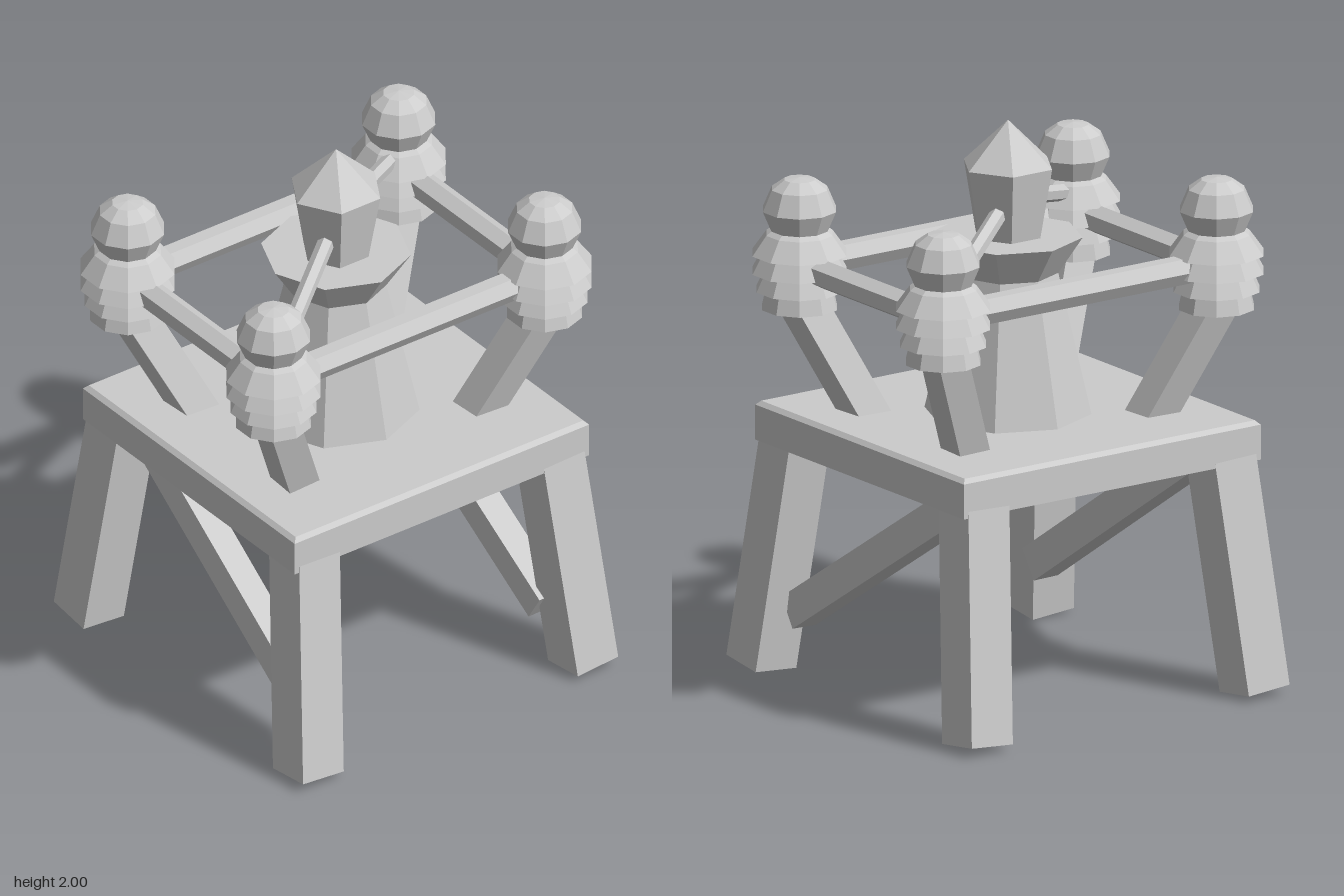
import * as THREE from 'three';

const grey = new THREE.MeshStandardMaterial({ color: 0xcccccc });
grey.name = 'light grey';

const UP = new THREE.Vector3(0, 1, 0);

// Give every face its own flat normal
function faceted(geometry) {
  const flat = geometry.index ? geometry.toNonIndexed() : geometry;
  flat.computeVertexNormals();
  return flat;
}

function add(parent, name, geometry) {
  const mesh = new THREE.Mesh(faceted(geometry), grey);
  mesh.name = name;
  parent.add(mesh);
  return mesh;
}

// Places a geometry that runs along y between two points
function between(parent, name, a, b, makeGeometry) {
  const start = new THREE.Vector3(...a), end = new THREE.Vector3(...b);
  const dir = end.clone().sub(start);
  const mesh = add(parent, name, makeGeometry(dir.length()));
  mesh.position.copy(start).add(end).multiplyScalar(0.5);
  mesh.quaternion.setFromUnitVectors(UP, dir.normalize());
  return mesh;
}

const beam = (w, d) => (length) => new THREE.BoxGeometry(w, length, d);
const hexBar = (r) => (length) => new THREE.CylinderGeometry(r, r, length, 6);

function turned(parent, name, profile, sides) {
  const points = profile.map(([r, y]) => new THREE.Vector2(r, y));
  return add(parent, name, new THREE.LatheGeometry(points, sides));
}

export function createModel() {
  const model = new THREE.Group();
  model.name = 'pylonTable';

  // Slab with a chamfered top edge
  const slab = new THREE.BoxGeometry(1.26, 0.14, 1.22, 1, 2, 1);
  const p = slab.attributes.position;
  for (let i = 0; i < p.count; i++) {
    if (p.getY(i) > 0.05) {
      p.setX(i, p.getX(i) - Math.sign(p.getX(i)) * 0.015);
      p.setZ(i, p.getZ(i) - Math.sign(p.getZ(i)) * 0.015);
    } else if (p.getY(i) > -0.05) p.setY(i, 0.055);
  }
  add(model, 'slab', slab).position.y = 0.89;

  // Central tower with a flared collar, and the pointed finial on it
  turned(model, 'tower', [
    [0, 0.93], [0.295, 0.94], [0.175, 1.46], [0.26, 1.59], [0, 1.59],
  ], 8);
  turned(model, 'finial', [
    [0, 1.58], [0.12, 1.58], [0.166, 1.84], [0, 2],
  ], 6).rotation.y = Math.PI / 6;

  // Ribbed post head and the ball on top of it
  const ribs = [
    [0, 1.33], [0.135, 1.33], [0.12, 1.395], [0.155, 1.395], [0.125, 1.46],
    [0.17, 1.46], [0.135, 1.525], [0.17, 1.525], [0.12, 1.595], [0.1, 1.61], [0, 1.61],
  ];
  const ball = [
    [0, 1.6], [0.1, 1.605], [0.132, 1.68], [0.1, 1.755], [0.055, 1.788], [0, 1.795],
  ];

  // Corner parts: splayed leg, leaning arm, post head
  for (const x of [-1, 1]) {
    for (const z of [-1, 1]) {
      const corner = new THREE.Group();
      corner.name = 'corner';
      model.add(corner);
      between(corner, 'leg', [x * 0.588, 0.015, z * 0.632], [x * 0.52, 0.88, z * 0.517], beam(0.174, 0.174));
      between(corner, 'arm', [x * 0.37, 0.9, z * 0.28], [x * 0.58, 1.36, z * 0.42], beam(0.12, 0.12));
      for (const [name, profile] of [['ribbedHead', ribs], ['ball', ball]]) {
        turned(corner, name, profile, 10).position.set(x * 0.58, 0, z * 0.42);
      }
    }
  }

  // Rails joining the heads, and a slanting brace under each side
  for (const s of [-1, 1]) {
    between(model, 'longRail', [-0.58, 1.485, s * 0.415], [0.58, 1.485, s * 0.415], hexBar(0.052));
    between(model, 'sideRail', [s * 0.58, 1.48, -0.42], [s * 0.58, 1.48, 0.42], hexBar(0.052));
    between(model, 'brace', [s * 0.512, 0.21, 0.518], [s * 0.482, 0.86, -0.49], beam(0.1, 0.12));
    // Spokes rising from two opposite heads to the finial
    between(model, 'spoke', [s * 0.58, 1.545, -s * 0.42], [s * 0.1, 1.69, -s * 0.075], hexBar(0.03));
  }

  return model;
}
